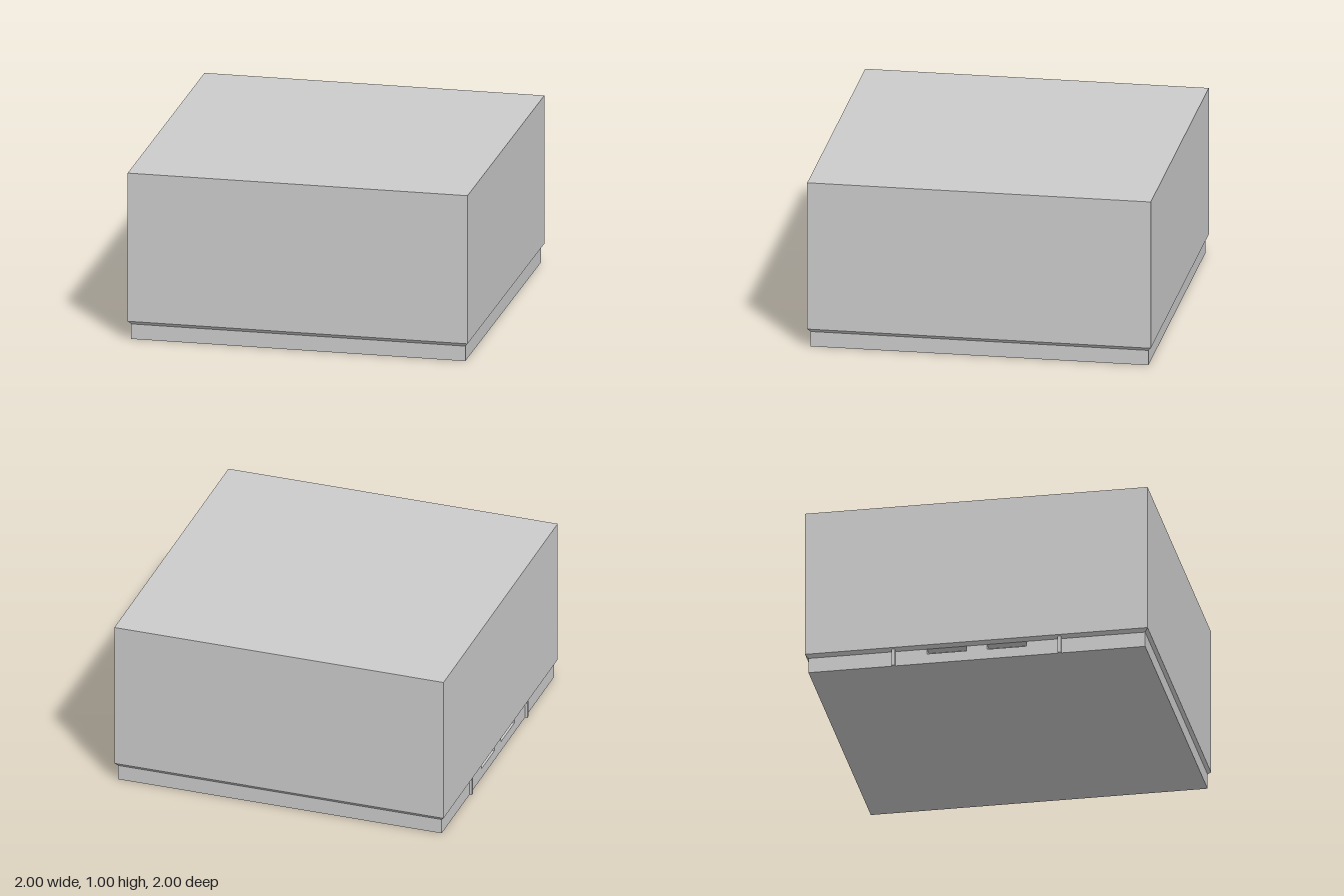
import * as THREE from 'three';

const material = new THREE.MeshStandardMaterial({ color: 0xcccccc, flatShading: true });

function add(group, name, geometry, x = 0, y = 0, z = 0) {
  const mesh = new THREE.Mesh(geometry, material);
  mesh.name = name;
  mesh.position.set(x, y, z);
  group.add(mesh);
  return mesh;
}

export function createModel() {
  const group = new THREE.Group();
  group.name = 'boxWithPlinth';

  const half = 0.983; // half width of the plinth
  const seam = 0.09; // top of the plinth
  const rim = 0.11; // bottom edge of the cover walls
  const floor = 0.06; // floor of the finger slots
  const depth = 0.06;

  // Cover: square block with an undercut lower edge
  add(group, 'cover', new THREE.BoxGeometry(2, 1 - rim, 2), 0, (1 + rim) / 2, 0);
  const bevel = new THREE.CylinderGeometry(Math.SQRT2, half * Math.SQRT2, rim - seam, 4, 1);
  bevel.rotateY(Math.PI / 4);
  add(group, 'coverBevel', bevel, 0, (rim + seam) / 2, 0);

  // Plinth: solid lower slab, and an upper slab notched by two slots on the -x side
  add(group, 'plinthBottom', new THREE.BoxGeometry(half * 2, floor, half * 2), 0, floor / 2, 0);
  const outline = new THREE.Shape();
  outline.moveTo(-half, -half);
  outline.lineTo(half, -half);
  outline.lineTo(half, half);
  outline.lineTo(-half, half);
  for (const [from, to] of [[0.29, 0.06], [-0.06, -0.29]]) {
    outline.lineTo(-half, from);
    outline.lineTo(-half + depth, from);
    outline.lineTo(-half + depth, to);
    outline.lineTo(-half, to);
  }
  outline.closePath();
  const upper = new THREE.ExtrudeGeometry(outline, { depth: seam - floor, bevelEnabled: false });
  upper.rotateX(-Math.PI / 2);
  add(group, 'plinthTop', upper, 0, floor, 0);

  // Two slim upright ribs on the -x side
  for (const side of [-1, 1]) {
    add(group, 'rib', new THREE.BoxGeometry(0.02, 0.1, 0.02), -0.988, 0.05, side * 0.485);
  }
  return group;
}
